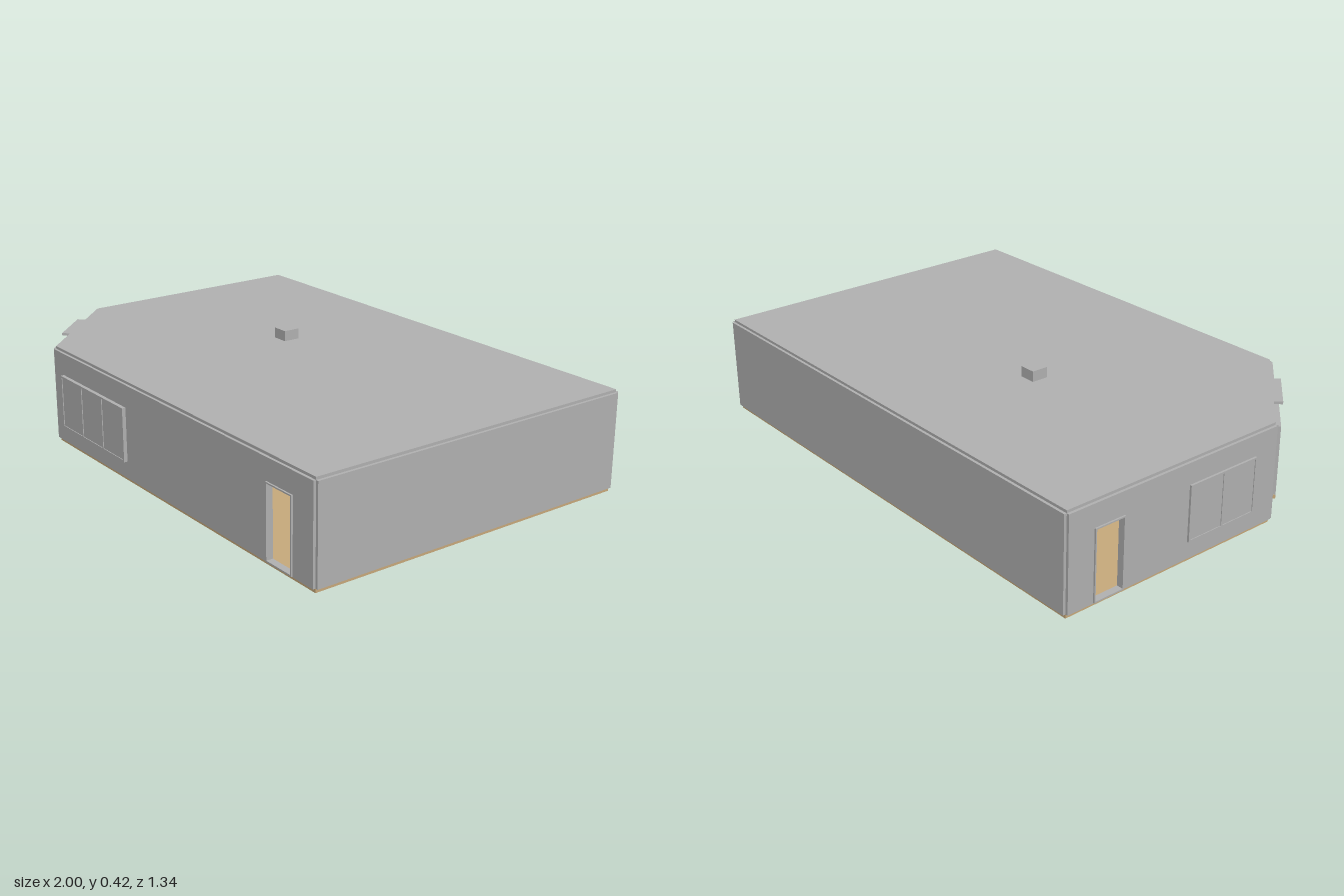
import * as THREE from 'three';

const grey = new THREE.MeshStandardMaterial({ color: 0xb2b2b2 });
grey.name = 'grey plaster';
const tan = new THREE.MeshStandardMaterial({ color: 0xc8aa7c });
tan.name = 'tan floor';

const BASE = 0.015, WALL_TOP = 0.37, ROOF_TOP = 0.38;

// Floor plan corners as [x, z], walked front, right, back, left, cut corner
const plan = [[-0.62, 0.645], [0.986, 0.645], [0.986, -0.665], [-0.982, -0.665], [-0.982, 0.262]];

function add(parent, name, geometry, material, x = 0, y = 0, z = 0) {
  const mesh = new THREE.Mesh(geometry, material);
  mesh.name = name;
  mesh.position.set(x, y, z);
  parent.add(mesh);
  return mesh;
}

function rectPoints(x0, x1, y0, y1) {
  return [[x0, y0], [x1, y0], [x1, y1], [x0, y1]].map(([x, y]) => new THREE.Vector2(x, y));
}

function panel(x0, x1, y0, y1, holes, depth) {
  const shape = new THREE.Shape(rectPoints(x0, x1, y0, y1));
  holes.forEach((h) => shape.holes.push(new THREE.Path(rectPoints(...h).reverse())));
  return new THREE.ExtrudeGeometry(shape, { depth, bevelEnabled: false });
}

// Floor and roof share one outline with a tab at the corner entrance
function slab(height) {
  const [a, b] = [plan[4], plan[0]];
  const len = Math.hypot(b[0] - a[0], b[1] - a[1]);
  const d = [(b[0] - a[0]) / len, (b[1] - a[1]) / len];
  const at = (u, out) => [a[0] + d[0] * u - d[1] * out, a[1] + d[1] * u + d[0] * out];
  const outline = [...plan, at(0.165, 0), at(0.165, 0.032), at(0.36, 0.032), at(0.36, 0)];
  const shape = new THREE.Shape(outline.map(([x, z]) => new THREE.Vector2(x, -z)));
  return new THREE.ExtrudeGeometry(shape, { depth: height, bevelEnabled: false }).rotateX(-Math.PI / 2);
}

// Window: outer frame, mullions and slightly recessed panes
function addWindow(wall, [u0, u1, v0, v1], panes, out) {
  const win = new THREE.Group();
  win.name = 'window';
  wall.add(win);
  const border = 0.007, step = (u1 - u0 - border) / panes, holes = [];
  for (let i = 0; i < panes; i++) {
    const x0 = u0 + border + i * step, x1 = u0 + (i + 1) * step;
    holes.push([x0, x1, v0 + border, v1 - border]);
    add(win, 'windowPane', panel(x0, x1, v0 + border, v1 - border, [], 0.008), grey, 0, 0, out - 0.011);
  }
  add(win, 'windowFrame', panel(u0, u1, v0, v1, holes, out + 0.01), grey, 0, 0, -0.01);
}

// Open doorway lining
function addDoor(wall, [u0, u1, v0, v1], out) {
  const b = 0.005;
  add(wall, 'doorFrame', panel(u0, u1, v0, v1, [[u0 + b, u1 - b, v0 + b, v1 - b]], out + 0.01), grey, 0, 0, -0.01);
}

export function createModel() {
  const house = new THREE.Group();
  house.name = 'house';

  add(house, 'floorSlab', slab(BASE), tan);
  add(house, 'roofSlab', slab(ROOF_TOP - WALL_TOP), grey, 0, WALL_TOP, 0);
  add(house, 'chimney', new THREE.BoxGeometry(0.065, 0.05, 0.065), grey, -0.183, 0.395, -0.117);

  // Openings per wall: distances along the wall, then heights
  const walls = [
    { name: 'frontWall', windows: [[0.07, 0.522, 0.08, 0.285]], panes: 3, out: 0.024, doors: [[1.37, 1.505, 0.018, 0.29]], doorOut: 0.016 },
    { name: 'rightWall' },
    { name: 'backWall' },
    { name: 'leftWall', windows: [[0.515, 0.825, 0.08, 0.29]], panes: 2, out: 0.018, doors: [[0.105, 0.23, 0.018, 0.285]], doorOut: 0.016 },
    { name: 'cornerWall', doors: [[0.165, 0.36, 0.016, 0.285]], doorOut: 0.032 },
  ];
  walls.forEach(({ name, windows = [], panes, out, doors = [], doorOut }, i) => {
    const p = plan[i], q = plan[(i + 1) % plan.length];
    const dx = q[0] - p[0], dz = q[1] - p[1];
    const wall = new THREE.Group();
    wall.name = name;
    wall.position.set(p[0], 0, p[1]);
    wall.rotation.y = Math.atan2(-dz, dx);
    house.add(wall);
    const body = panel(0, Math.hypot(dx, dz), BASE, WALL_TOP, [...windows, ...doors], 0.02);
    add(wall, name + 'Panel', body, grey, 0, 0, -0.01);
    windows.forEach((w) => addWindow(wall, w, panes, out));
    doors.forEach((d) => addDoor(wall, d, doorOut));
  });

  // Fittings glimpsed through the front door
  const fittings = [
    ['shelf', 0.845, 0.16, 0.08, 0.035],
    ['cupboard', 0.86, 0.257, 0.055, 0.065],
    ['post', 0.79, 0.24, 0.02, 0.09],
    ['step', 0.79, 0.038, 0.08, 0.045],
  ];
  fittings.forEach(([name, x, y, w, h]) => add(house, name, new THREE.BoxGeometry(w, h, 0.08), grey, x, y, 0.45));

  return house;
}
